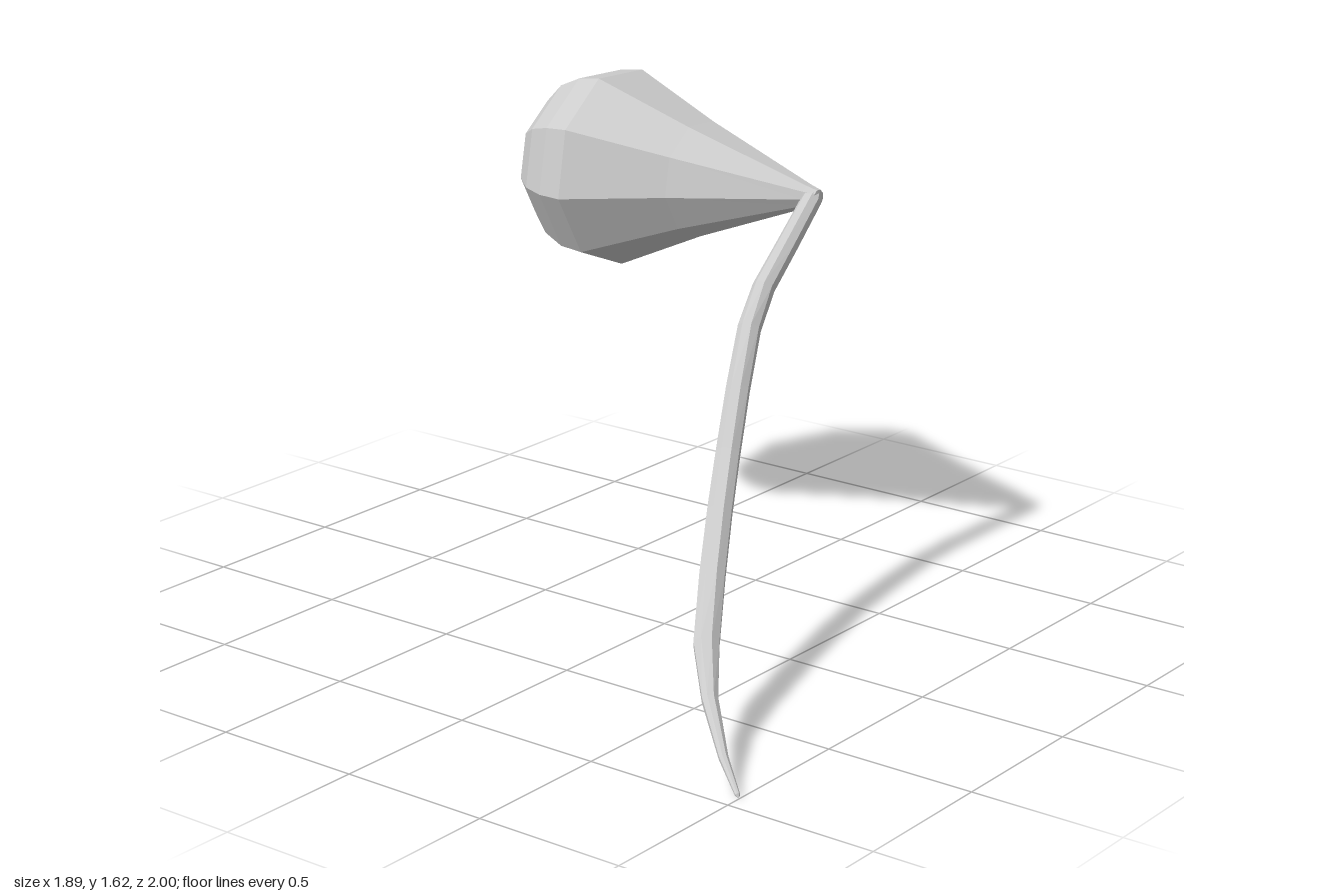
import * as THREE from 'three';

// Closed, faceted skin over rings placed along a path; each row is [x, y, z, radius]
function loft(rows, sides, phase) {
  const up = new THREE.Vector3(0, 1, 0);
  const centres = rows.map(r => new THREE.Vector3(r[0], r[1], r[2]));
  const last = rows.length - 1;
  const positions = [];
  rows.forEach((row, i) => {
    const dir = centres[Math.min(i + 1, last)].clone()
      .sub(centres[Math.max(i - 1, 0)]).normalize();
    const u = dir.clone().cross(up).normalize();
    const v = u.clone().cross(dir);
    for (let k = 0; k < sides; k++) {
      const a = phase + (k / sides) * Math.PI * 2;
      const p = centres[i].clone()
        .addScaledVector(u, row[3] * Math.cos(a))
        .addScaledVector(v, row[3] * Math.sin(a));
      positions.push(p.x, p.y, p.z);
    }
  });
  const index = [];
  for (let i = 0; i < last; i++) {
    for (let k = 0; k < sides; k++) {
      const a = i * sides + k, b = i * sides + (k + 1) % sides;
      const c = a + sides, d = b + sides;
      // rings of zero radius close the ends with single triangles
      if (rows[i][3] > 0) index.push(b, a, c);
      if (rows[i + 1][3] > 0) index.push(b, c, d);
      else if (rows[i][3] > 0) continue;
    }
  }
  const geometry = new THREE.BufferGeometry();
  geometry.setAttribute('position', new THREE.Float32BufferAttribute(positions, 3));
  geometry.setIndex(index);
  const flat = geometry.toNonIndexed();
  flat.computeVertexNormals();
  return flat;
}

export function createModel() {
  const group = new THREE.Group();
  const material = new THREE.MeshStandardMaterial({ color: 0xcccccc, flatShading: true });

  function add(name, geometry) {
    const mesh = new THREE.Mesh(geometry, material);
    mesh.name = name;
    group.add(mesh);
  }

  // Curved stem, tapering to a point at the foot
  add('stem', loft([
    [-0.945, 0.005, 0.998, 0],
    [-0.94, 0.012, 0.99, 0.008],
    [-0.86, 0.07, 0.88, 0.015],
    [-0.72, 0.165, 0.725, 0.026],
    [-0.585, 0.27, 0.61, 0.042],
    [-0.41, 0.41, 0.50, 0.042],
    [-0.24, 0.545, 0.40, 0.041],
    [-0.085, 0.675, 0.315, 0.04],
    [0.06, 0.835, 0.245, 0.039],
    [0.2, 0.99, 0.185, 0.038],
    [0.31, 1.095, 0.16, 0.037],
    [0.45, 1.20, 0.148, 0.036],
    [0.595, 1.32, 0.14, 0.034],
    [0.612, 1.335, 0.14, 0.026],
    [0.616, 1.339, 0.14, 0],
  ], 8, Math.PI / 8));

  // Nine-sided bulb: long cone opening into a rounded end
  add('bulb', loft([
    [0.607, 1.33, 0.165, 0],
    [0.607, 1.33, 0.16, 0.026],
    [0.608, 1.329, 0.12, 0.038],
    [0.612, 1.318, -0.32, 0.195],
    [0.616, 1.307, -0.66, 0.336],
    [0.617, 1.305, -0.75, 0.326],
    [0.618, 1.303, -0.84, 0.288],
    [0.619, 1.301, -0.92, 0.22],
    [0.62, 1.30, -1.0, 0],
  ], 9, THREE.MathUtils.degToRad(28)));

  return group;
}
